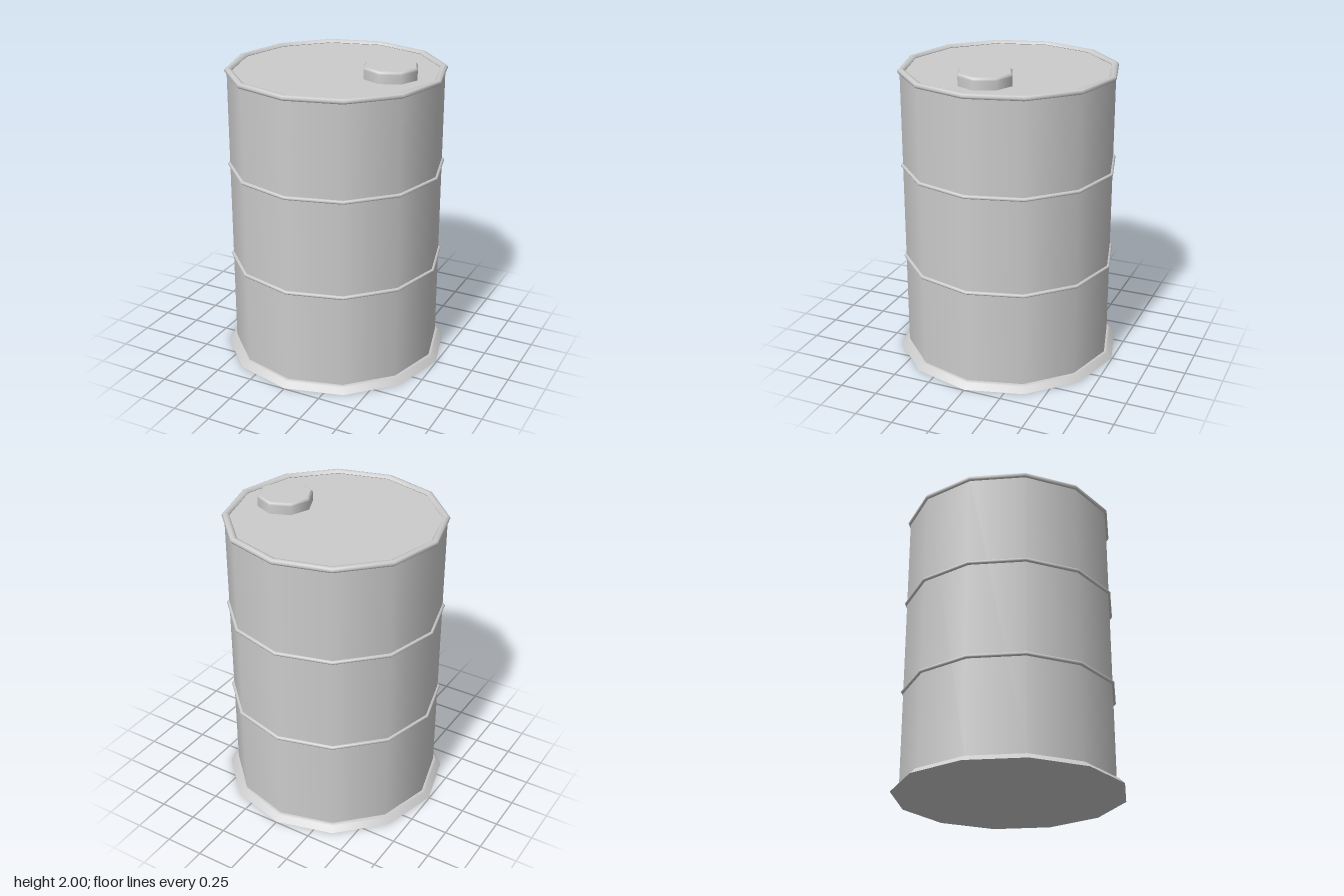
import * as THREE from 'three';

const SIDES = 12;
const material = new THREE.MeshStandardMaterial({ color: 0xcccccc });

// Revolves [radius, y] points, listed bottom to top; a repeated point makes a sharp edge.
function turned(name, profile, sides = SIDES) {
  const geometry = new THREE.LatheGeometry(profile.map(([r, y]) => new THREE.Vector2(r, y)), sides);
  geometry.normalizeNormals();
  const mesh = new THREE.Mesh(geometry, material);
  mesh.name = name;
  return mesh;
}

// Closed ring with an oval section, smooth all round.
function ring(name, radius, y, halfWidth, halfHeight, steps = 8) {
  const profile = [];
  for (let i = 0; i <= steps; i++) {
    const a = Math.PI + (i / steps) * Math.PI * 2;
    profile.push([radius + Math.cos(a) * halfWidth, y + Math.sin(a) * halfHeight]);
  }
  return turned(name, profile);
}

export function createModel() {
  const drum = new THREE.Group();
  drum.name = 'drum';

  // Straight wall closed by a flat lid just below the top of the rim
  drum.add(turned('body', [
    [0.69, 0.02], [0.69, 1.925], [0.69, 1.925], [0, 1.925],
  ]));

  // Flared foot with a flat underside
  drum.add(turned('base', [
    [0, 0], [0.745, 0], [0.745, 0], [0.712, 0.034], [0.7, 0.041], [0.685, 0.041],
  ]));

  // Rolled top rim and the two hoops around the wall
  drum.add(ring('topRim', 0.682, 1.928, 0.024, 0.018));
  [0.667, 1.305].forEach((y, i) => {
    drum.add(ring(i ? 'upperHoop' : 'lowerHoop', 0.69, y, 0.016, 0.012));
  });

  // Eight-sided filler cap with a small bevel
  const cap = turned('fillerCap', [
    [0.178, 1.915], [0.178, 1.982], [0.175, 1.993], [0.165, 2], [0.165, 2], [0, 2],
  ], 8);
  cap.position.x = 0.373;
  drum.add(cap);

  return drum;
}
